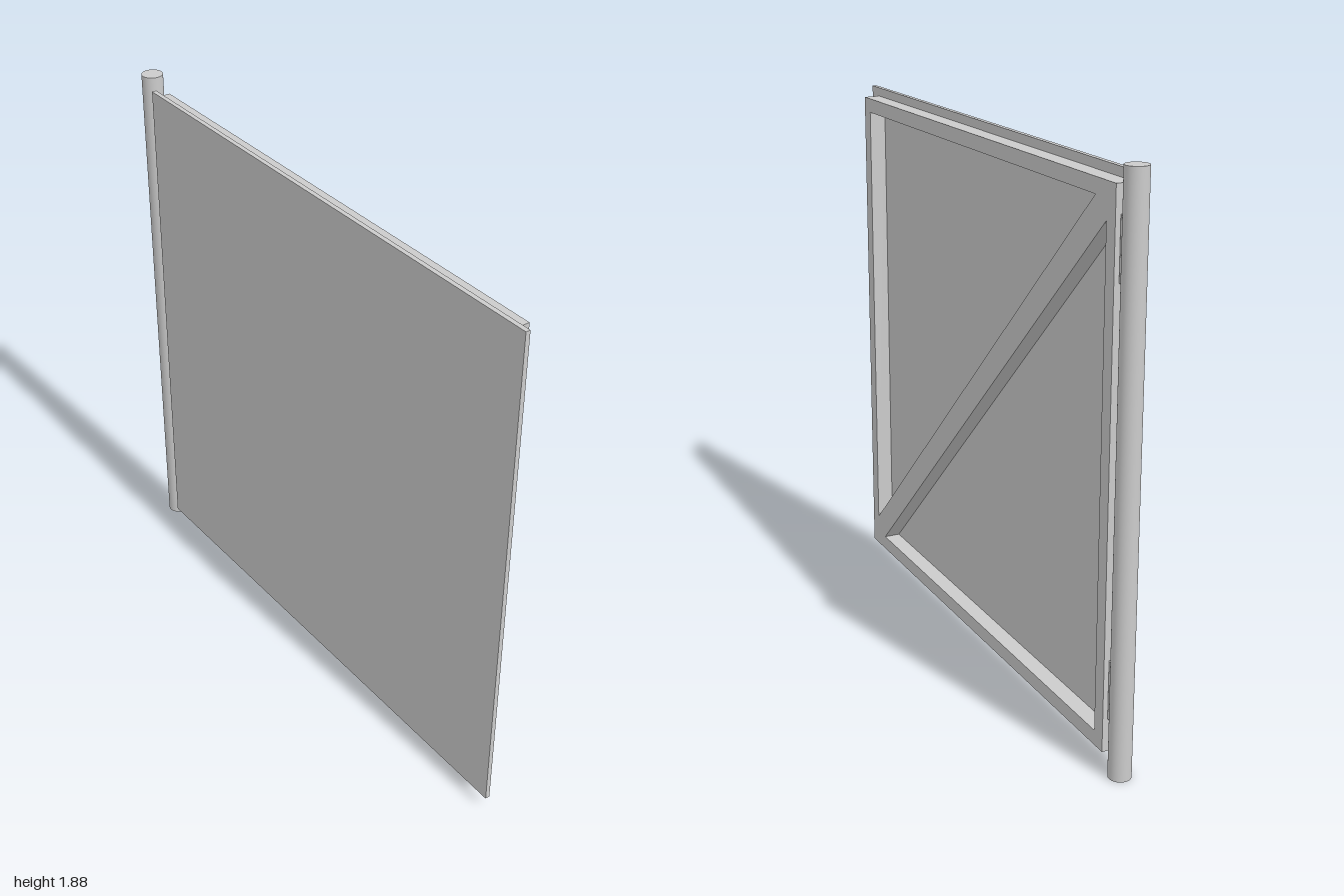
import * as THREE from 'three';

const material = new THREE.MeshStandardMaterial({ color: 0xcccccc });

// Closed outline from a few corner points
const outline = (Type, points) => new Type(points.map(([x, y]) => new THREE.Vector2(x, y)));

export function createModel() {
  const gate = new THREE.Group();
  gate.name = 'gate';

  const add = (name, geometry, x, y, z) => {
    const mesh = new THREE.Mesh(geometry, material);
    mesh.name = name;
    mesh.position.set(x, y, z);
    gate.add(mesh);
    return mesh;
  };

  const axisZ = -0.004;

  // Round post carrying the gate
  add('post', new THREE.CylinderGeometry(0.037, 0.037, 1.88, 40), -0.963, 0.94, axisZ);

  // Hinge barrels between post and frame
  for (const [name, y] of [['lowerHinge', 0.27], ['upperHinge', 1.635]]) {
    add(name, new THREE.CylinderGeometry(0.016, 0.016, 0.195, 24), -0.914, y, axisZ);
  }

  // Thin cover sheet on the front
  add('panel', new THREE.BoxGeometry(1.895, 1.8, 0.016), 0.0525, 0.95, 0.032);

  // Square-section frame with a diagonal brace: two triangular openings
  const left = -0.905, right = 0.935, bottom = 0.06, top = 1.82;
  const bar = 0.05, gap = 0.064;
  const l = left + bar, r = right - bar, b = bottom + bar, t = top - bar;
  const frame = outline(THREE.Shape, [[left, bottom], [right, bottom], [right, top], [left, top]]);
  frame.holes.push(
    outline(THREE.Path, [[l + gap, t], [r, t], [r, b + gap]]),
    outline(THREE.Path, [[l, t - gap], [r - gap, b], [l, b]]),
  );
  add('bracedFrame', new THREE.ExtrudeGeometry(frame, { depth: 0.058, bevelEnabled: false }), 0, 0, -0.034);

  return gate;
}
